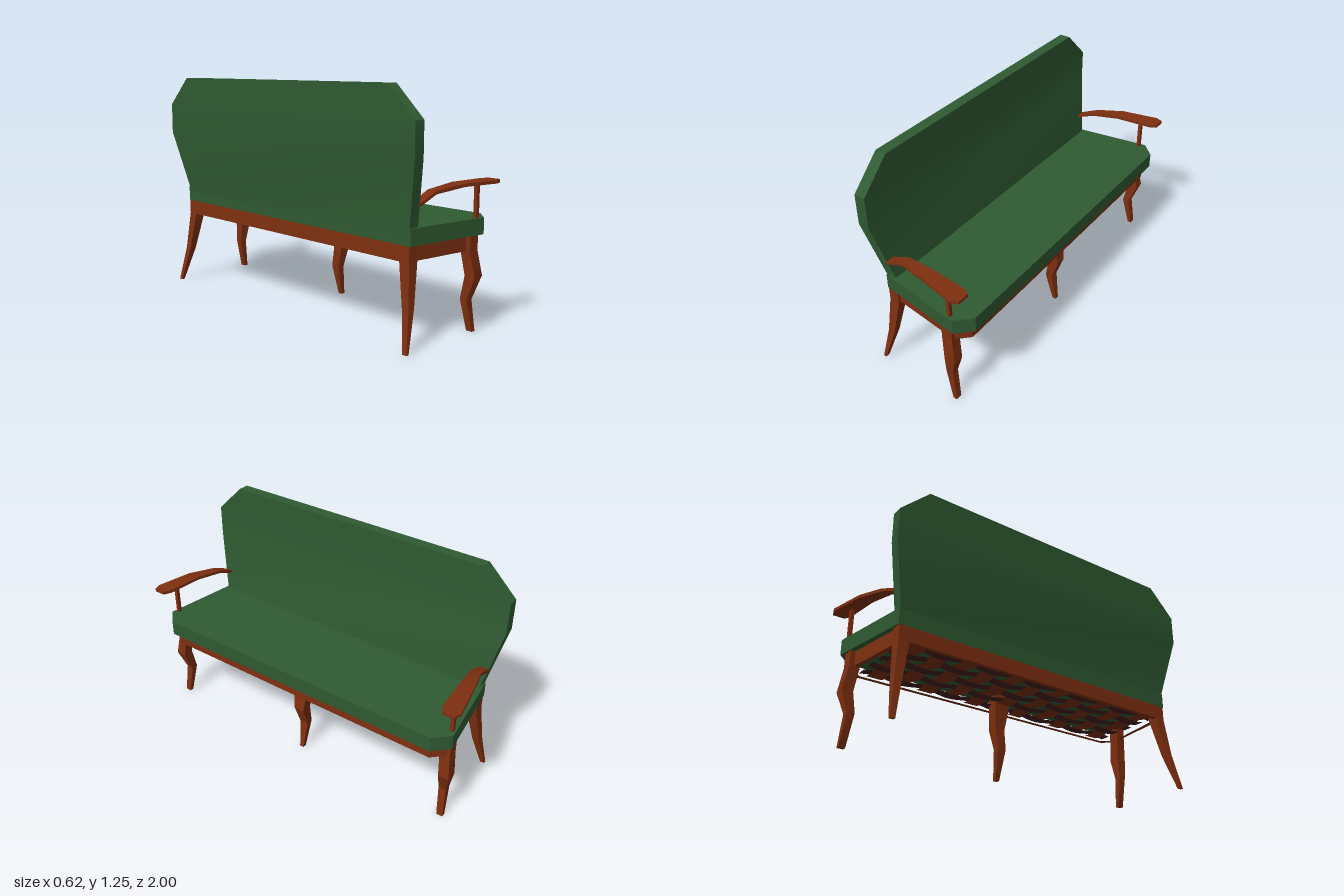
import * as THREE from 'three';
import { toCreasedNormals } from 'three/addons/utils/BufferGeometryUtils.js';

const mat = (name, color, side = THREE.FrontSide) => {
  const m = new THREE.MeshStandardMaterial({ color, side });
  m.name = name;
  return m;
};

// Joins four-cornered rings into a closed solid
function loft(rings) {
  const pos = [];
  const quad = (a, b, c, d) => pos.push(...a, ...b, ...c, ...a, ...c, ...d);
  for (let r = 0; r + 1 < rings.length; r++) {
    const lo = rings[r], hi = rings[r + 1];
    for (let i = 0; i < 4; i++) {
      const j = (i + 1) % 4;
      quad(lo[i], lo[j], hi[j], hi[i]);
    }
  }
  const first = rings[0], last = rings[rings.length - 1];
  quad(first[3], first[2], first[1], first[0]);
  quad(...last);
  const g = new THREE.BufferGeometry();
  g.setAttribute('position', new THREE.Float32BufferAttribute(pos, 3));
  return toCreasedNormals(g, 0.4);
}

// Upright solid from rows of [y, x0, x1, z0, z1]
const upright = (rows) => loft(rows.map(([y, x0, x1, z0, z1]) =>
  [[x0, y, z1], [x1, y, z1], [x1, y, z0], [x0, y, z0]]));

// Lengthwise solid from rows of [x, y0, y1, z0, z1]
const lengthwise = (rows) => loft(rows.map(([x, y0, y1, z0, z1]) =>
  [[x, y0, z1], [x, y0, z0], [x, y1, z0], [x, y1, z1]]));

// Mirrors the z range held in the last two columns
const flip = (rows, s) => s > 0 ? rows : rows.map(([a, b, c, z0, z1]) => [a, b, c, -z1, -z0]);

// Seat outline: tapers to the rear, front corners cut off
function outline(Type, rear, front, zRear, zFront, cut) {
  const half = [[rear, zRear], [front - cut, zFront], [front, zFront - cut]];
  const pts = [...half, ...half.map(([x, z]) => [x, -z]).reverse()];
  return new Type(pts.map(([x, z]) => new THREE.Vector2(x, z)));
}

function slab(shape, y, height) {
  const g = new THREE.ExtrudeGeometry(shape, { depth: height, bevelEnabled: false });
  g.rotateX(-Math.PI / 2);
  g.translate(0, y, 0);
  return g;
}

export function createModel() {
  const model = new THREE.Group();
  model.name = 'bench';
  const green = mat('green upholstery', 0x2f5a32);
  const wood = mat('red brown wood', 0x7e2f10);
  const woodStrap = mat('brown webbing', 0x7a2c10, THREE.DoubleSide);
  const darkStrap = mat('dark webbing', 0x45201f, THREE.DoubleSide);
  const add = (name, geo, material) => {
    const m = new THREE.Mesh(geo, material);
    m.name = name;
    model.add(m);
  };

  // Seat cushion and open apron frame
  add('seat', slab(outline(THREE.Shape, -0.25, 0.31, 0.885, 0.955, 0.08), 0.5, 0.085), green);
  const frame = outline(THREE.Shape, -0.25, 0.27, 0.86, 0.92, 0.065);
  frame.holes.push(outline(THREE.Path, -0.225, 0.245, 0.835, 0.895, 0.06));
  add('apron', slab(frame, 0.42, 0.08), wood);

  // Backrest, leaning back and then upright, with cut top corners
  add('backrest', upright([
    [0.5, -0.25, -0.19, -0.88, 0.88],
    [0.585, -0.25, -0.19, -0.88, 0.88],
    [0.92, -0.315, -0.253, -0.955, 0.955],
    [1.09, -0.315, -0.253, -0.955, 0.955],
    [1.25, -0.315, -0.253, -0.79, 0.79],
  ]), green);

  // Legs, arms and arm posts on both ends
  const backLeg = [
    [0, -0.312, -0.295, 0.9, 0.925],
    [0.2, -0.272, -0.232, 0.86, 0.9],
    [0.42, -0.25, -0.19, 0.82, 0.88],
    [0.5, -0.25, -0.19, 0.82, 0.88],
  ];
  const frontLeg = [
    [0, 0.185, 0.208, 0.9, 0.935],
    [0.17, 0.145, 0.185, 0.885, 0.927],
    [0.29, 0.165, 0.228, 0.895, 0.955],
    [0.42, 0.145, 0.207, 0.88, 0.938],
    [0.5, 0.145, 0.207, 0.88, 0.938],
  ];
  const arm = [
    [-0.215, 0.685, 0.7, 0.86, 0.908],
    [-0.1, 0.733, 0.75, 0.86, 0.915],
    [0.06, 0.755, 0.772, 0.88, 0.958],
    [0.27, 0.755, 0.772, 0.9, 1],
    [0.31, 0.755, 0.772, 0.92, 0.985],
  ];
  const post = [
    [0.58, 0.187, 0.207, 0.92, 0.94],
    [0.76, 0.187, 0.207, 0.92, 0.94],
  ];
  for (const s of [1, -1]) {
    const side = s > 0 ? 'left' : 'right';
    add(side + 'BackLeg', upright(flip(backLeg, s)), wood);
    add(side + 'FrontLeg', upright(flip(frontLeg, s)), wood);
    add(side + 'Arm', lengthwise(flip(arm, s)), wood);
    add(side + 'ArmPost', upright(flip(post, s)), wood);
  }
  const midHalf = [0.012, 0.026, 0.03, 0.047, 0.047];
  add('middleFrontLeg', upright(frontLeg.map(([y, x0, x1], i) =>
    [y, x0, x1, -midHalf[i], midHalf[i]])), wood);

  // Woven webbing under the seat: long dark straps and short brown ones
  const weave = (w, d, nx, nz, cx, cz, wave) => {
    const g = new THREE.PlaneGeometry(w, d, nx, nz).rotateX(Math.PI / 2);
    g.translate(cx, 0.435, cz);
    const p = g.attributes.position;
    for (let i = 0; i < p.count; i++) p.setY(i, p.getY(i) + 0.008 * wave(p.getX(i), p.getZ(i)));
    g.computeVertexNormals();
    return g;
  };
  for (let i = -2; i <= 2; i++) {
    const sign = i % 2 ? 1 : -1;
    add('longStrap', weave(0.06, 1.68, 1, 88, 0.01 + i * 0.1, 0,
      (x, z) => sign * Math.cos(Math.PI * z / 0.15)), darkStrap);
  }
  for (let k = -5; k <= 5; k++) {
    const sign = k % 2 ? -1 : 1;
    add('shortStrap', weave(0.48, 0.09, 40, 1, 0.01, k * 0.15,
      (x) => sign * Math.cos(Math.PI * (x - 0.01) / 0.1)), woodStrap);
  }
  return model;
}
